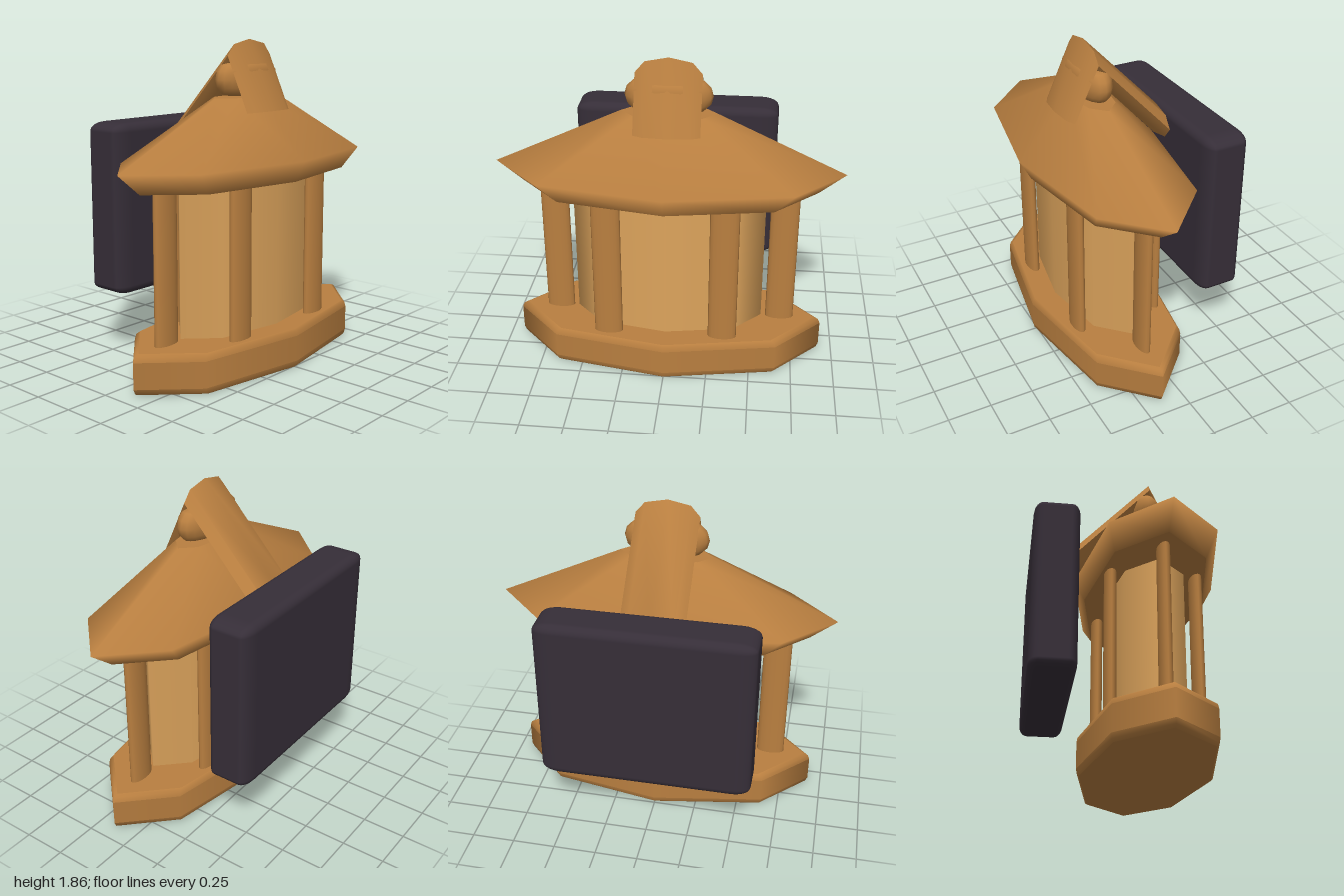
import * as THREE from 'three';
import { toCreasedNormals } from 'three/addons/utils/BufferGeometryUtils.js';
import { RoundedBoxGeometry } from 'three/addons/geometries/RoundedBoxGeometry.js';

const FLATTEN = 0.42; // the lantern is squashed front to back

// Eight-sided turned shape; a repeated profile point keeps that edge sharp
function turned(profile) {
  return new THREE.LatheGeometry(profile.map(([r, y]) => new THREE.Vector2(r, y)), 8);
}

// Bent bar lofted through octagonal sections: centre (z, y) and half thickness (dz, dy)
function bentBar(sections, halfWidth) {
  const n = 8, pos = [], idx = [];
  for (const [z, y, dz, dy] of sections) {
    for (let i = 0; i < n; i++) {
      const a = (i / n) * Math.PI * 2, c = Math.cos(a);
      pos.push(halfWidth * Math.sin(a), y + dy * c, z + dz * c);
    }
  }
  const last = (sections.length - 1) * n;
  for (let s = 0; s < last; s += n) {
    for (let i = 0; i < n; i++) {
      const j = (i + 1) % n;
      idx.push(s + i, s + j, s + n + i, s + j, s + n + j, s + n + i);
    }
  }
  for (let i = 1; i < n - 1; i++) {
    idx.push(0, i + 1, i, last, last + i, last + i + 1);
  }
  const g = new THREE.BufferGeometry();
  g.setAttribute('position', new THREE.Float32BufferAttribute(pos, 3));
  g.setIndex(idx);
  return toCreasedNormals(g, 0.9);
}

export function createModel() {
  const wood = new THREE.MeshStandardMaterial({ color: 0xb97f40 });
  wood.name = 'wood';
  const paleWood = new THREE.MeshStandardMaterial({ color: 0xdda45c });
  paleWood.name = 'paleWood';
  const dark = new THREE.MeshStandardMaterial({ color: 0x362e38 });
  dark.name = 'darkPanel';

  const model = new THREE.Group();
  model.name = 'lantern';
  const add = (parent, name, geometry, material, x = 0, y = 0, z = 0) => {
    const mesh = new THREE.Mesh(geometry, material);
    mesh.name = name;
    mesh.position.set(x, y, z);
    parent.add(mesh);
    return mesh;
  };

  const body = new THREE.Group();
  body.name = 'lanternBody';
  body.position.z = 0.135;
  body.scale.z = FLATTEN;
  model.add(body);

  // Base with softened edges
  add(body, 'base', turned([
    [0, 0], [0.88, 0], [0.88, 0], [0.908, 0.012], [0.92, 0.04], [0.92, 0.04],
    [0.92, 0.19], [0.92, 0.19], [0.908, 0.218], [0.88, 0.23], [0.88, 0.23], [0, 0.23],
  ]), wood);

  // Pale core
  add(body, 'core', new THREE.CylinderGeometry(0.56, 0.56, 0.9, 8), paleWood, 0, 0.65);

  // Ring of six columns
  const column = new THREE.CylinderGeometry(0.083, 0.083, 0.9, 16);
  for (let i = 0; i < 6; i++) {
    const a = (i * Math.PI) / 3;
    add(body, 'column', column, wood, 0.67 * Math.cos(a), 0.65, 0.67 * Math.sin(a));
  }

  // Roof with a wide eave and flat top
  add(body, 'roof', turned([
    [0, 1.08], [0.85, 1.08], [0.85, 1.08], [1, 1.2], [0.27, 1.54], [0.27, 1.54], [0, 1.54],
  ]), wood);

  // Ring on top of the roof
  const ring = add(body, 'topRing', new THREE.TorusGeometry(0.152, 0.093, 12, 20), wood, 0, 1.64);
  ring.rotation.x = Math.PI / 2;

  // Bent strap from the roof front, over the ring, to the back panel
  add(model, 'strap', bentBar([
    [0.295, 1.46, 0.041, 0.004],
    [0.153, 1.77, 0, 0.09],
    [-0.36, 1.22, 0, 0.1],
  ], 0.185), wood);

  // Back panel, its rounding stretched sideways
  const panel = add(model, 'backPanel', new RoundedBoxGeometry(0.557, 1, 0.26, 3, 0.05), dark, 0, 0.89, -0.43);
  panel.scale.x = 2.2;

  return model;
}
